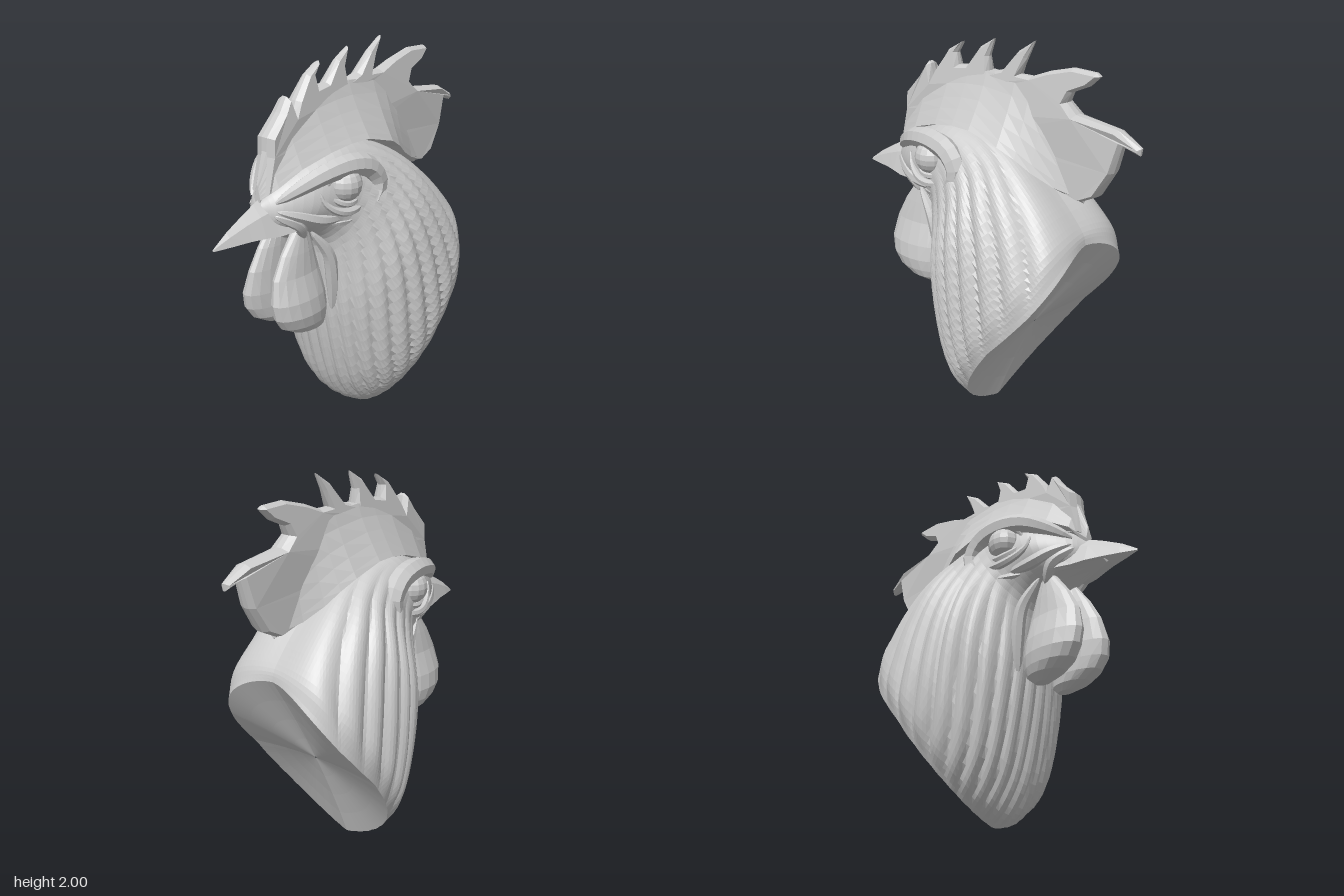
import * as THREE from 'three';

const V = (x, y, z) => new THREE.Vector3(x, y, z);
const { clamp, smoothstep } = THREE.MathUtils;
const material = new THREE.MeshStandardMaterial({ color: 0xcccccc, flatShading: true });
const thinMaterial = new THREE.MeshStandardMaterial({ color: 0xcccccc, flatShading: true, side: THREE.DoubleSide });

// Skin closed rings of equal length; ends are fanned to their middle when capped
function loft(rings, caps = true) {
  const n = rings[0].length, pos = [], idx = [];
  rings.forEach(r => r.forEach(p => pos.push(p.x, p.y, p.z)));
  for (let i = 0; i < rings.length - 1; i++) {
    for (let j = 0; j < n; j++) {
      const a = i * n + j, b = i * n + (j + 1) % n;
      idx.push(a, b, a + n, b, b + n, a + n);
    }
  }
  if (caps) [0, rings.length - 1].forEach((r, end) => {
    const c = V(0, 0, 0);
    rings[r].forEach(p => c.addScaledVector(p, 1 / n));
    const k = pos.length / 3;
    pos.push(c.x, c.y, c.z);
    for (let j = 0; j < n; j++) {
      const a = r * n + j, b = r * n + (j + 1) % n;
      if (end) idx.push(a, b, k); else idx.push(b, a, k);
    }
  });
  // Turn the faces outward if the enclosed volume is negative
  let volume = 0;
  const at = i => V(pos[3 * i], pos[3 * i + 1], pos[3 * i + 2]);
  for (let i = 0; i < idx.length; i += 3) volume += at(idx[i]).dot(at(idx[i + 1]).cross(at(idx[i + 2])));
  if (volume < 0) idx.reverse();
  const g = new THREE.BufferGeometry();
  g.setAttribute('position', new THREE.Float32BufferAttribute(pos, 3));
  g.setIndex(idx);
  g.computeVertexNormals();
  return g;
}

// Fleshy fold: a tube that tapers at both ends
function fold(points, radius) {
  const curve = new THREE.CatmullRomCurve3(points), seg = 22, sides = 7;
  const g = new THREE.TubeGeometry(curve, seg, radius, sides);
  const p = g.attributes.position, v = V(0, 0, 0);
  for (let i = 0; i < p.count; i++) {
    const t = Math.floor(i / (sides + 1)) / seg, c = curve.getPointAt(t);
    v.fromBufferAttribute(p, i).sub(c).multiplyScalar(0.12 + 0.88 * Math.sin(Math.PI * t) ** 0.6).add(c);
    p.setXYZ(i, v.x, v.y, v.z);
  }
  g.computeVertexNormals();
  return g;
}

// Front and back profile of each oblique head section: half width, front y, z, back y, z
const sections = [
  [0.415, 0, -0.05, 1.05, -0.6], [0.44, 0.07, 0.04, 1.11, -0.59], [0.44, 0.2, 0.13, 1.19, -0.53],
  [0.425, 0.42, 0.2, 1.28, -0.44], [0.39, 0.66, 0.245, 1.38, -0.32], [0.32, 0.9, 0.265, 1.47, -0.18],
  [0.26, 1.05, 0.29, 1.54, 0], [0.23, 1.12, 0.36, 1.56, 0.18], [0.19, 1.15, 0.46, 1.5, 0.36],
  [0.1, 1.2, 0.57, 1.39, 0.54], [0.03, 1.26, 0.61, 1.33, 0.6],
];
const frontLine = new THREE.CatmullRomCurve3(sections.map(s => V(s[0], s[1], s[2])));
const backLine = new THREE.CatmullRomCurve3(sections.map(s => V(0, s[3], s[4])));

// One head section; feather ridges sweep from the cheeks to the bottom point of the neck
function headRing(u) {
  const f = frontLine.getPoint(u), b = backLine.getPoint(u), ring = [], count = 160;
  const ridge = 0.035 * smoothstep(0.66 - u, 0, 0.25) * (0.15 + 0.85 * smoothstep(u, 0, 0.15));
  const sweep = 0.85 * clamp(1 - u / 0.6, 0, 1);
  for (let j = 0; j < count; j++) {
    const a = j / count * 2 * Math.PI, c = Math.cos(a), s = Math.sin(a);
    const side = Math.sign(s) * Math.abs(s) ** (c < 0 ? 0.73 : 1);
    const strand = a + sweep * s + 0.05 * Math.sin(3 * a);
    const k = ridge * (2 * Math.abs(Math.sin(strand * 11)) - 1);
    const push = (c < 0 ? 0.16 : 0.09) * (1 - u) ** 5 * c * Math.abs(s);
    const along = c * (1 + k * 0.6) / 2;
    ring.push(V(f.x * side * (1 + k),
      (f.y + b.y) / 2 + (f.y - b.y) * along + push * 0.46,
      (f.z + b.z) / 2 + (f.z - b.z) * along + push * 0.89));
  }
  return ring;
}

// Comb silhouette as z, y pairs, from the brow over the points to the tail lobe
const combOutline = [
  [0.59, 1.37], [0.55, 1.55], [0.545, 1.64], [0.455, 1.74], [0.41, 1.81], [0.395, 1.8], [0.375, 1.72],
  [0.35, 1.78], [0.27, 1.89], [0.18, 1.94], [0.215, 1.88], [0.205, 1.82], [0.14, 1.83], [0.06, 1.93],
  [-0.026, 1.98], [0.005, 1.89], [0, 1.81], [-0.09, 1.84], [-0.18, 1.94], [-0.275, 2], [-0.23, 1.91],
  [-0.19, 1.83], [-0.26, 1.83], [-0.365, 1.87], [-0.5, 1.905], [-0.63, 1.9], [-0.65, 1.885], [-0.59, 1.83],
  [-0.5, 1.79], [-0.475, 1.74], [-0.53, 1.69], [-0.76, 1.66], [-0.885, 1.595], [-0.88, 1.56], [-0.79, 1.59],
  [-0.75, 1.45], [-0.67, 1.32], [-0.58, 1.275], [-0.39, 1.325], [-0.2, 1.45], [0, 1.5], [0.3, 1.45],
];

// Blade with bevelled rims, thinner toward the points and the tail
function combBlade() {
  const shape = new THREE.Shape(combOutline.map(([z, y]) => new THREE.Vector2(-z, y)));
  const g = new THREE.ExtrudeGeometry(shape, {
    depth: 0.3, bevelThickness: 0.35, bevelSize: 0.014, bevelOffset: -0.014, bevelSegments: 1,
  });
  g.translate(0, 0, -0.15).rotateY(Math.PI / 2);
  const p = g.attributes.position;
  for (let i = 0; i < p.count; i++) {
    const thick = 0.012 + 0.046 * clamp((2 - p.getY(i)) / 0.32, 0, 1);
    const tail = clamp((p.getZ(i) + 1) / 0.3, 0.4, 1);
    p.setX(i, p.getX(i) * 2 * thick * tail);
  }
  g.computeVertexNormals();
  return g;
}

// Flared comb root: z, base y, half width, ridge y
function combRoot() {
  const rows = [[0.6, 1.35, 0.02, 1.42], [0.54, 1.41, 0.085, 1.6], [0.42, 1.48, 0.12, 1.71], [0.25, 1.53, 0.15, 1.79],
    [0.12, 1.55, 0.165, 1.81], [0, 1.55, 0.175, 1.82], [-0.18, 1.5, 0.175, 1.81], [-0.27, 1.45, 0.15, 1.8],
    [-0.35, 1.39, 0.12, 1.77], [-0.46, 1.33, 0.08, 1.68], [-0.58, 1.3, 0.045, 1.52]];
  const steps = [0, 0.1, 0.3, 0.5, 0.75, 1];
  return loft(rows.map(([z, base, w, top]) => {
    const half = steps.map(s => V(w * (0.2 + 0.8 * (1 - s) ** 1.25), base + (top - base) * s, z));
    return [V(0, base - 0.04, z), ...half, ...half.map(p => V(-p.x, p.y, p.z)).reverse()];
  }));
}

// Hooked beak: z, ridge y, edge y, underside y, half width
function beak(rows) {
  return loft(rows.map(([z, top, edge, low, w]) => [
    V(0, top, z), V(w * 0.6, top * 0.65 + edge * 0.35, z), V(w, edge, z), V(w * 0.5, (edge + low) / 2, z),
    V(0, low, z), V(-w * 0.5, (edge + low) / 2, z), V(-w, edge, z), V(-w * 0.6, top * 0.65 + edge * 0.35, z)]));
}

// Hanging wattle: y, front z, back z, centre x, half thickness
function wattle(m) {
  const rows = [[1.18, 0.44, 0.36, 0.075, 0.03], [1.06, 0.53, 0.32, 0.08, 0.045], [0.95, 0.59, 0.29, 0.085, 0.055],
    [0.83, 0.615, 0.27, 0.1, 0.078], [0.75, 0.6, 0.265, 0.105, 0.083], [0.69, 0.56, 0.265, 0.1, 0.078],
    [0.65, 0.49, 0.275, 0.095, 0.065], [0.62, 0.4, 0.31, 0.085, 0.03]];
  return loft(rows.map(([y, zf, zb, x, w]) => Array.from({ length: 16 }, (_, j) => {
    const a = j / 16 * 2 * Math.PI;
    return V(m * (x + w * Math.sin(a)), y, (zf + zb) / 2 + (zf - zb) / 2 * Math.cos(a));
  })));
}

export function createModel() {
  const group = new THREE.Group();
  const add = (name, geometry, mat = material) => {
    const mesh = new THREE.Mesh(geometry, mat);
    mesh.name = name;
    group.add(mesh);
    return mesh;
  };

  // Feathered neck and head
  add('headAndNeck', loft(Array.from({ length: 37 }, (_, i) => headRing(i / 36)), false));

  // Slightly hollow underside of the neck
  const rim = headRing(0), middle = V(0, 0.525, -0.325);
  add('neckUnderside', loft([1, 0.75, 0.5, 0.25, 0.01].map(k => rim.map(p => {
    const q = p.clone().lerp(middle, 1 - k), depth = 0.03 * (1 - k * k);
    return V(q.x, q.y + depth * 0.46, q.z + depth * 0.89);
  })), false), thinMaterial);

  // Comb
  add('combBlade', combBlade());
  add('combRoot', combRoot());

  // Beak
  add('upperBeak', beak([[0.42, 1.38, 1.19, 1.2, 0.14], [0.56, 1.365, 1.18, 1.21, 0.105], [0.63, 1.335, 1.185, 1.215, 0.085],
    [0.7, 1.3, 1.185, 1.21, 0.062], [0.8, 1.245, 1.18, 1.195, 0.033], [0.885, 1.185, 1.175, 1.178, 0.004]]));
  add('lowerBeak', beak([[0.38, 1.2, 1.17, 1.09, 0.12], [0.48, 1.19, 1.18, 1.13, 0.09], [0.6, 1.2, 1.19, 1.165, 0.055],
    [0.7, 1.2, 1.195, 1.185, 0.02]]));

  for (const [side, m] of [['left', 1], ['right', -1]]) {
    const path = list => list.map(([x, y, z]) => V(m * x, y, z));

    // Eye in a fleshy socket that runs from the beak over the brow and round the cheek
    const eye = add(side + 'Eye', new THREE.SphereGeometry(0.088, 14, 10));
    eye.position.set(m * 0.205, 1.38, 0.22);
    const socket = [[0.08, 1.34, 0.56], [0.15, 1.41, 0.45], [0.2, 1.46, 0.34], [0.225, 1.475, 0.2],
      [0.235, 1.44, 0.08], [0.24, 1.35, 0.02], [0.24, 1.26, 0.06], [0.215, 1.2, 0.17], [0.18, 1.19, 0.3]];
    add(side + 'Socket', fold(path(socket), 0.058));

    // Lids: name, radius, outward x, thickness, direction
    const lids = [['UpperLid', 0.1, 0.245, 0.022, 1], ['LowerLid', 0.1, 0.24, 0.02, -1], ['LowerFold', 0.145, 0.245, 0.022, -1]];
    for (const [name, r, x, thick, dir] of lids) {
      const arc = Array.from({ length: 9 }, (_, j) => {
        const a = Math.PI * (0.02 + 0.96 * j / 8);
        return [x - 0.05 * Math.cos(a) ** 2, 1.38 + dir * r * 0.9 * Math.sin(a), 0.215 + r * 1.15 * Math.cos(a)];
      });
      add(side + name, fold(path(arc), thick));
    }

    // Cheek and throat folds around the beak
    add(side + 'CheekFold', fold(path([[0.09, 1.3, 0.56], [0.14, 1.27, 0.47], [0.18, 1.23, 0.36], [0.2, 1.21, 0.22]]), 0.035));
    add(side + 'MouthCorner', fold(path([[0.08, 1.28, 0.57], [0.12, 1.22, 0.46], [0.11, 1.13, 0.4]]), 0.035));
    add(side + 'ThroatFold', fold(path([[0.13, 1.16, 0.38], [0.15, 1.02, 0.28], [0.14, 0.85, 0.24], [0.12, 0.66, 0.22]]), 0.035));
    add(side + 'Wattle', wattle(m));
  }
  return group;
}
